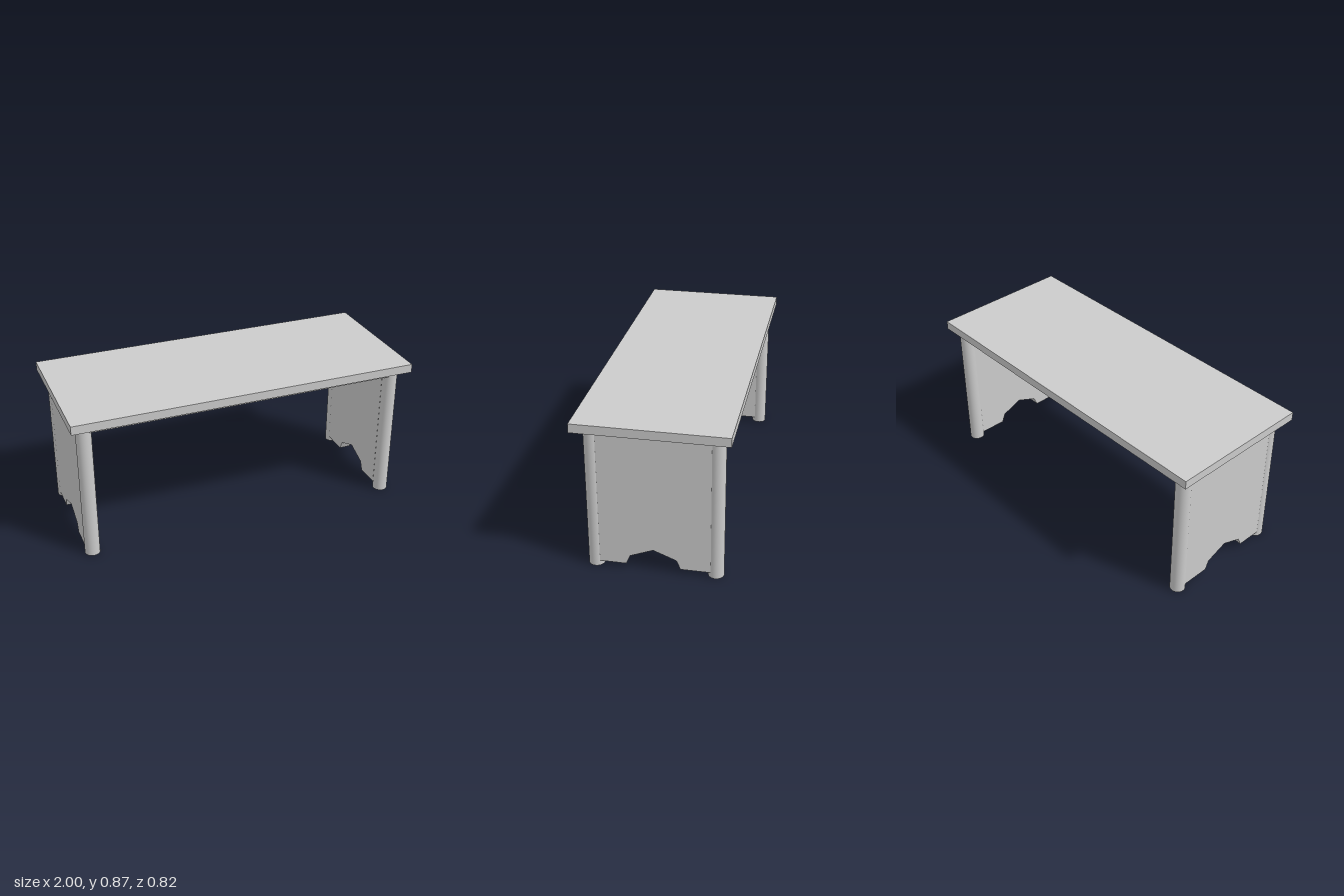
import * as THREE from 'three';

const TOP_Y = 0.817, LEG_R = 0.043, LEG_X = 0.916;
const FRONT_Z = 0.317, BACK_Z = -0.333, BOARD = 0.07;

export function createModel() {
  const group = new THREE.Group();
  const material = new THREE.MeshStandardMaterial({ color: 0xcccccc });

  const add = (name, geometry, x, y, z) => {
    const mesh = new THREE.Mesh(geometry, material);
    mesh.name = name;
    mesh.position.set(x, y, z);
    group.add(mesh);
    return mesh;
  };

  // Table top
  add('tableTop', new THREE.BoxGeometry(2, 0.05, 0.824), 0, TOP_Y + 0.025, 0);

  // Round legs at the corners
  const legGeometry = new THREE.CylinderGeometry(LEG_R, LEG_R, TOP_Y, 32);
  for (const [side, sx] of [['left', 1], ['right', -1]]) {
    add(side + 'FrontLeg', legGeometry, sx * LEG_X, TOP_Y / 2, FRONT_Z);
    add(side + 'BackLeg', legGeometry, sx * LEG_X, TOP_Y / 2, BACK_Z);
  }

  // End panels with a notched foot, drawn in (z, y) and running into the legs
  const outline = [
    [BACK_Z, TOP_Y], [BACK_Z, 0.03], [-0.147, 0.03], [-0.125, 0.082], [0, 0.132],
    [0.125, 0.082], [0.147, 0.03], [FRONT_Z, 0.03], [FRONT_Z, TOP_Y],
  ].map(([z, y]) => new THREE.Vector2(-z, y));
  const panelGeometry = new THREE.ExtrudeGeometry(new THREE.Shape(outline), {
    depth: BOARD, bevelEnabled: false,
  });
  panelGeometry.translate(0, 0, -BOARD / 2);
  panelGeometry.rotateY(Math.PI / 2);
  add('leftPanel', panelGeometry, LEG_X, 0, 0);
  add('rightPanel', panelGeometry, -LEG_X, 0, 0);

  // Long rails under the top, between the legs
  const railGeometry = new THREE.BoxGeometry(2 * LEG_X, 0.039, BOARD);
  add('frontRail', railGeometry, 0, TOP_Y - 0.0195, FRONT_Z);
  add('backRail', railGeometry, 0, TOP_Y - 0.0195, BACK_Z);

  return group;
}
